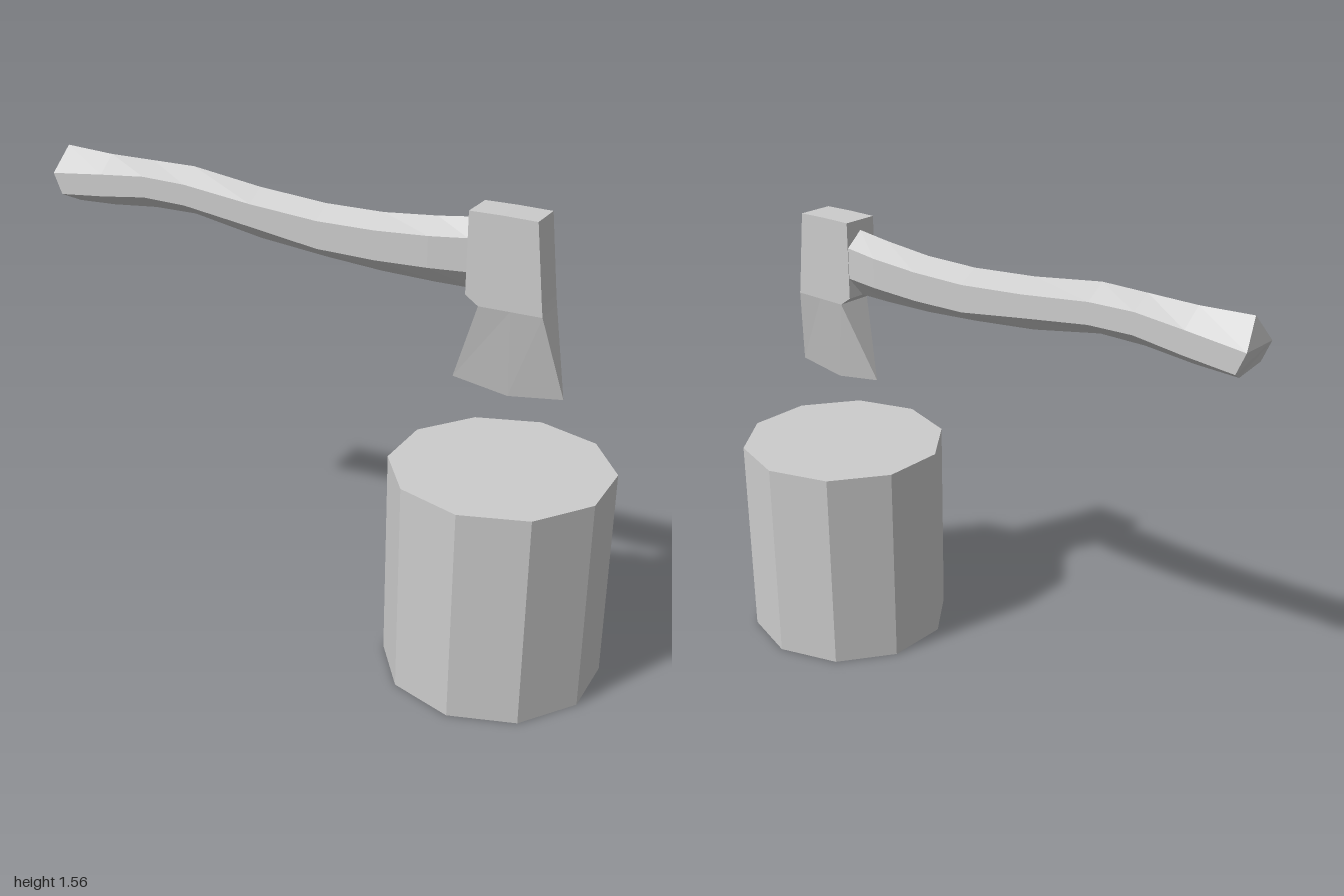
import * as THREE from 'three';

const material = () => new THREE.MeshStandardMaterial({ color: 0xcccccc, flatShading: true });

// Skins a list of rings; each ring runs counter-clockwise seen from the far end.
function loft(rings) {
  const n = rings[0].length, last = (rings.length - 1) * n, index = [];
  for (let i = 0; i < last; i += n) {
    for (let j = 0; j < n; j++) {
      const k = (j + 1) % n;
      index.push(i + j, i + k, i + n + k, i + j, i + n + k, i + n + j);
    }
  }
  for (let j = 1; j < n - 1; j++) {
    const a = j + 1, b = (j + 2) % n;
    index.push(1, b, a, last + 1, last + a, last + b);
  }
  const geometry = new THREE.BufferGeometry();
  geometry.setAttribute('position', new THREE.Float32BufferAttribute(rings.flat(2), 3));
  geometry.setIndex(index);
  const flat = geometry.toNonIndexed();
  flat.computeVertexNormals();
  return flat;
}

function add(group, name, geometry) {
  const mesh = new THREE.Mesh(geometry, material());
  mesh.name = name;
  group.add(mesh);
  return mesh;
}

export function createModel() {
  const model = new THREE.Group();
  model.name = 'axeAndChoppingBlock';

  // Ten-sided chopping block
  add(model, 'choppingBlock', new THREE.CylinderGeometry(0.363, 0.363, 0.727, 10))
    .position.set(0.65, 0.3635, 0);

  const axe = new THREE.Group();
  axe.name = 'axe';
  model.add(axe);

  // Curved six-sided handle: x, half width, then heights of top, upper side, lower side, bottom
  const stations = [
    [-0.98, 0.068, 1.56, 1.475, 1.405, 1.37],
    [-0.8, 0.068, 1.55, 1.495, 1.42, 1.375],
    [-0.63, 0.068, 1.55, 1.51, 1.44, 1.39],
    [-0.47, 0.068, 1.55, 1.505, 1.435, 1.39],
    [-0.22, 0.068, 1.515, 1.475, 1.4, 1.345],
    [0.02, 0.068, 1.495, 1.455, 1.365, 1.32],
    [0.22, 0.068, 1.495, 1.455, 1.36, 1.305],
    [0.4, 0.068, 1.51, 1.465, 1.365, 1.3],
    [0.525, 0.06, 1.525, 1.475, 1.37, 1.3],
  ];
  const handle = stations.map(([x, w, top, upper, lower, bottom], i) => {
    // The butt end is slanted
    const [du, dl, db] = i === 0 ? [-0.02, 0.01, 0.035] : [0, 0, 0];
    return [
      [x, top, 0], [x + du, upper, w], [x + dl, lower, w],
      [x + db, bottom, 0], [x + dl, lower, -w], [x + du, upper, -w],
    ];
  });
  add(axe, 'handle', loft(handle));

  // Head: front, middle and back points (x, y) of each level, then half thickness
  const levels = [
    [[0.74, 1.557], [0.63, 1.56], [0.525, 1.56], 0.062],
    [[0.768, 1.3], [0.65, 1.3], [0.525, 1.3], 0.062],
    [[0.772, 1.27], [0.67, 1.27], [0.568, 1.27], 0.062],
    [[0.835, 0.995], [0.655, 0.97], [0.47, 1.0], 0],
  ];
  const head = levels.map(([front, middle, back, t]) => [
    [...front, t], [...middle, t], [...back, t],
    [...back, -t], [...middle, -t], [...front, -t],
  ]);
  add(axe, 'axeHead', loft(head));

  return model;
}
